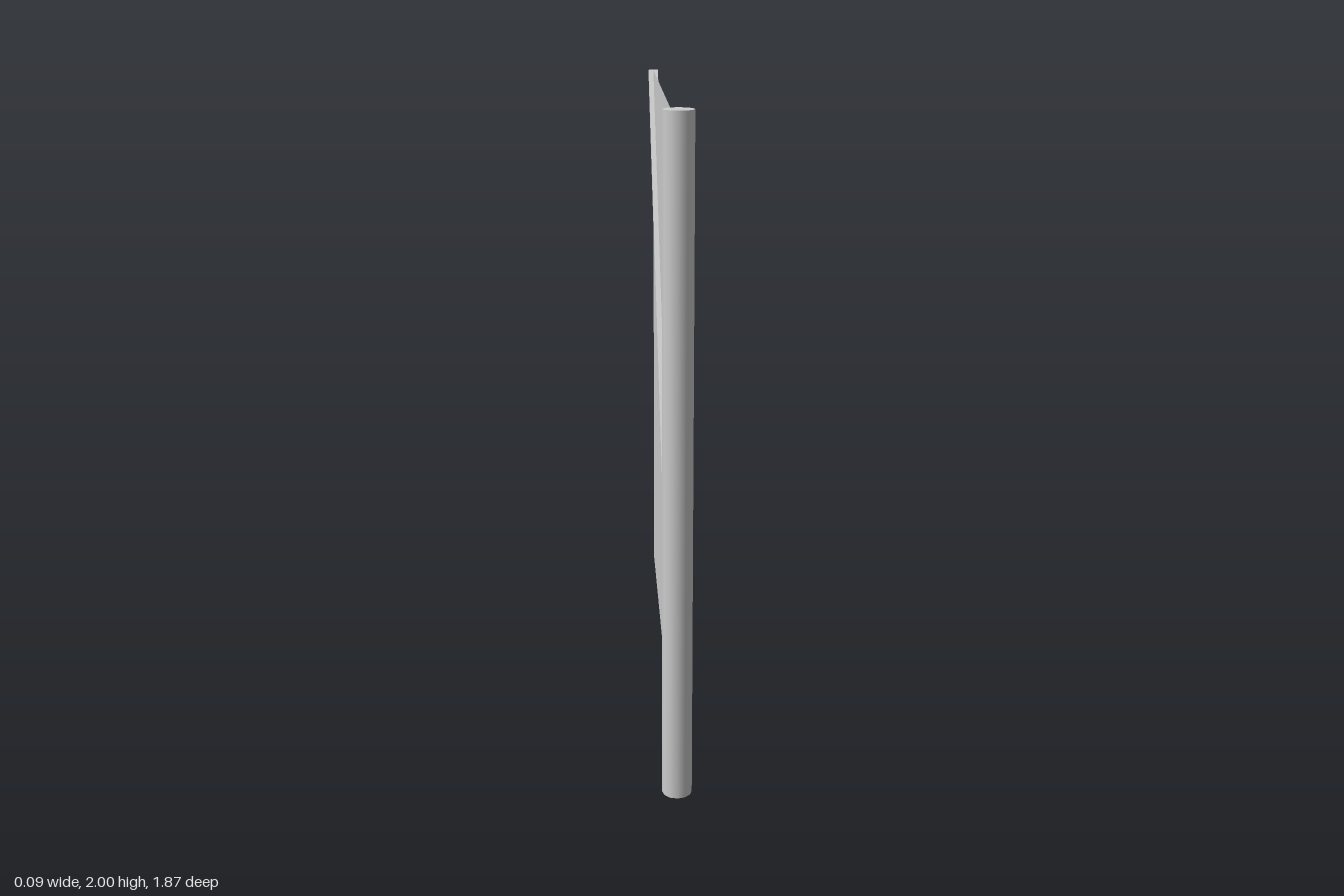
import * as THREE from 'three';

export function createModel() {
  const group = new THREE.Group();
  const grey = new THREE.MeshStandardMaterial({ color: 0xcccccc });
  const thin = new THREE.MeshStandardMaterial({ color: 0xcccccc, side: THREE.DoubleSide });
  const poleZ = 0.895;

  // Round upright pole
  const mast = new THREE.Mesh(new THREE.CylinderGeometry(0.044, 0.044, 2, 12), grey);
  mast.name = 'mast';
  mast.position.set(0, 1, poleZ);
  group.add(mast);

  // Flat sheet running back from the pole
  const back = -0.917, bottom = 0.005, top = 1.955;
  const sail = new THREE.Mesh(new THREE.PlaneGeometry(poleZ - 0.04 - back, top - bottom), thin);
  sail.name = 'sail';
  sail.rotation.y = Math.PI / 2;
  sail.position.set(0, (top + bottom) / 2, (poleZ - 0.04 + back) / 2);
  group.add(sail);

  // Square diagonal spar from the foot of the pole to the far upper corner
  const start = new THREE.Vector3(0, 0.075, 0.88);
  const end = new THREE.Vector3(0, 1.945, -0.923);
  const spar = new THREE.Mesh(new THREE.BoxGeometry(0.034, 0.034, start.distanceTo(end)), grey);
  spar.name = 'spar';
  spar.position.copy(start).lerp(end, 0.5);
  spar.lookAt(end);
  group.add(spar);

  return group;
}
